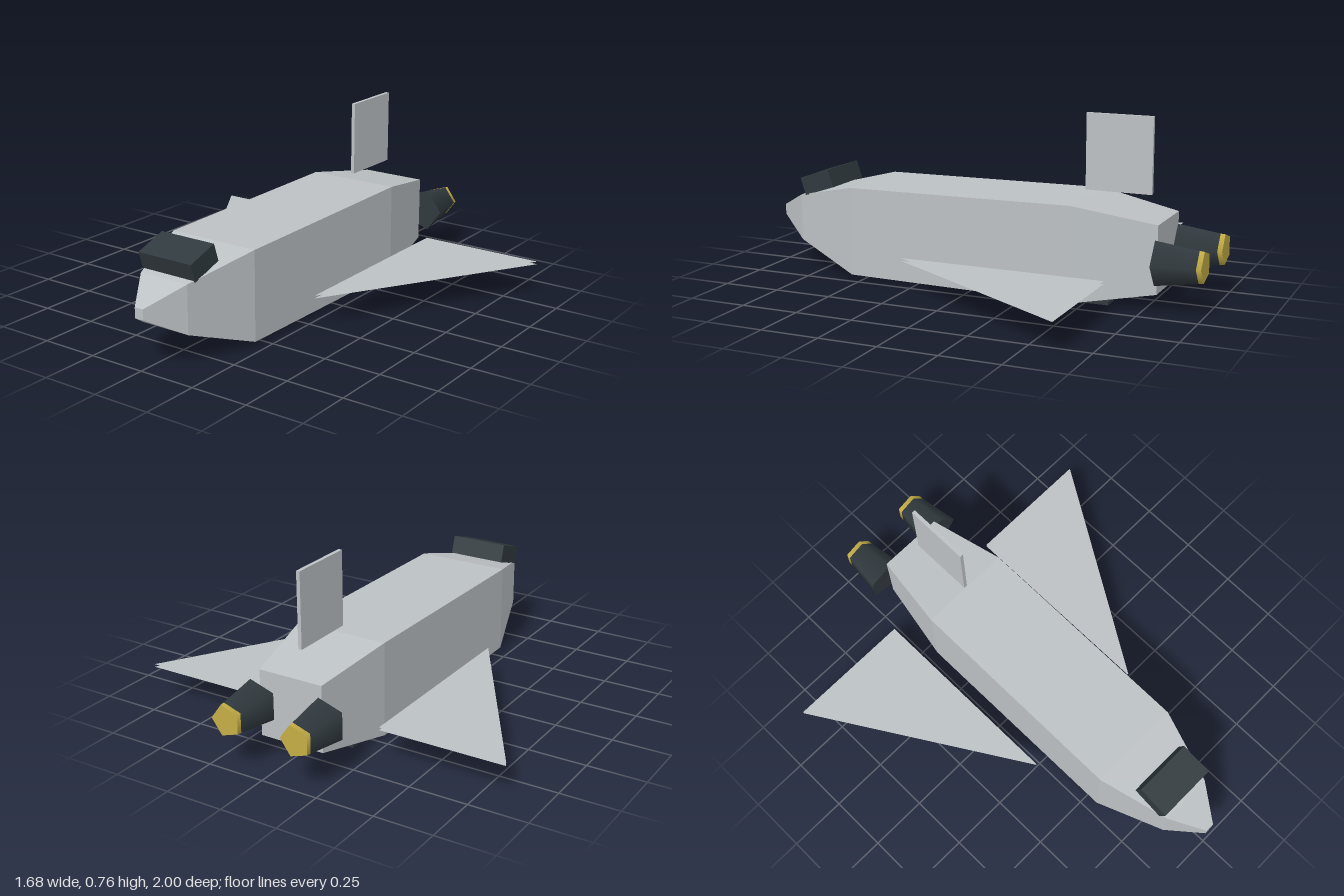
import * as THREE from 'three';

const mat = (name, color, extra = {}) => {
  const m = new THREE.MeshStandardMaterial({ color, ...extra });
  m.name = name;
  return m;
};

// Flat-shaded loft through rectangular sections [z, halfWidth, bottom, top], front to back
function loftGeometry(sections) {
  const rings = sections.map(([z, w, b, t]) => [[w, b, z], [w, t, z], [-w, t, z], [-w, b, z]]);
  const pos = [];
  const quad = (a, b, c, d) => pos.push(...a, ...b, ...c, ...a, ...c, ...d);
  for (let i = 0; i < rings.length - 1; i++) {
    const r = rings[i], s = rings[i + 1];
    for (let k = 0; k < 4; k++) {
      const n = (k + 1) % 4;
      quad(r[k], s[k], s[n], r[n]);
    }
  }
  const [f, e] = [rings[0], rings[rings.length - 1]];
  quad(f[0], f[1], f[2], f[3]);
  quad(e[3], e[2], e[1], e[0]);
  const g = new THREE.BufferGeometry();
  g.setAttribute('position', new THREE.Float32BufferAttribute(pos, 3));
  g.computeVertexNormals();
  return g;
}

export function createModel() {
  const model = new THREE.Group();
  model.name = 'spaceShuttle';

  const grey = mat('hullGrey', 0xbcc1c4);
  const wingGrey = grey;
  wingGrey.side = THREE.DoubleSide;
  const dark = mat('darkSlate', 0x30393e);
  const gold = mat('nozzleGold', 0xc4ad45);

  const add = (name, geo, material, x, y, z, parent = model) => {
    const m = new THREE.Mesh(geo, material);
    m.name = name;
    m.position.set(x, y, z);
    parent.add(m);
    return m;
  };

  // Fuselage, nose to tail
  add('fuselage', loftGeometry([
    [1, 0.02, 0.21, 0.255],
    [0.855, 0.115, 0.125, 0.33],
    [0.555, 0.205, 0.016, 0.4],
    [-0.45, 0.205, 0.005, 0.41],
    [-0.8, 0.145, 0.066, 0.35],
  ]), grey, 0, 0, 0);

  // Cockpit block, tipped down towards the nose
  add('cockpit', new THREE.BoxGeometry(0.26, 0.08, 0.147), dark, 0, 0.393, 0.767).rotation.x = 0.32;

  // Tail fin and belly hatch
  add('tailFin', new THREE.BoxGeometry(0.016, 0.32, 0.285), grey, 0, 0.6, -0.587);
  add('bellyHatch', new THREE.BoxGeometry(0.3, 0.015, 0.32), dark, 0, 0.0075, -0.44);

  for (const side of [1, -1]) {
    const label = side > 0 ? 'left' : 'right';

    // Delta wing: an upper and a lower skin
    const wing = new THREE.Group();
    wing.name = label + 'Wing';
    model.add(wing);
    const outline = new THREE.Shape([
      new THREE.Vector2(side * 0.29, -0.27),
      new THREE.Vector2(side * 0.842, 0.627),
      new THREE.Vector2(side * 0.29, 0.627),
    ]);
    const skin = new THREE.ShapeGeometry(outline).rotateX(-Math.PI / 2);
    add('upperSkin', skin, wingGrey, 0, 0.14, 0, wing);
    const under = new THREE.ShapeGeometry(outline).rotateX(-Math.PI / 2);
    under.index.array.reverse();
    under.attributes.normal.array.forEach((v, i, a) => { a[i] = -v; });
    add('lowerSkin', under, wingGrey, 0, 0.128, 0, wing);

    // Five-sided engine with a gold nozzle
    const engine = new THREE.Group();
    engine.name = label + 'Engine';
    engine.position.set(side * 0.16, 0.207, 0);
    model.add(engine);
    const prism = (rear, front, length) =>
      new THREE.CylinderGeometry(rear, front, length, 5, 1, false, Math.PI / 2).rotateX(-Math.PI / 2);
    add('engineBell', prism(0.07, 0.097, 0.178), dark, 0, 0, -0.891, engine);
    add('nozzle', prism(0.068, 0.07, 0.02), gold, 0, 0, -0.99, engine);
  }

  return model;
}
